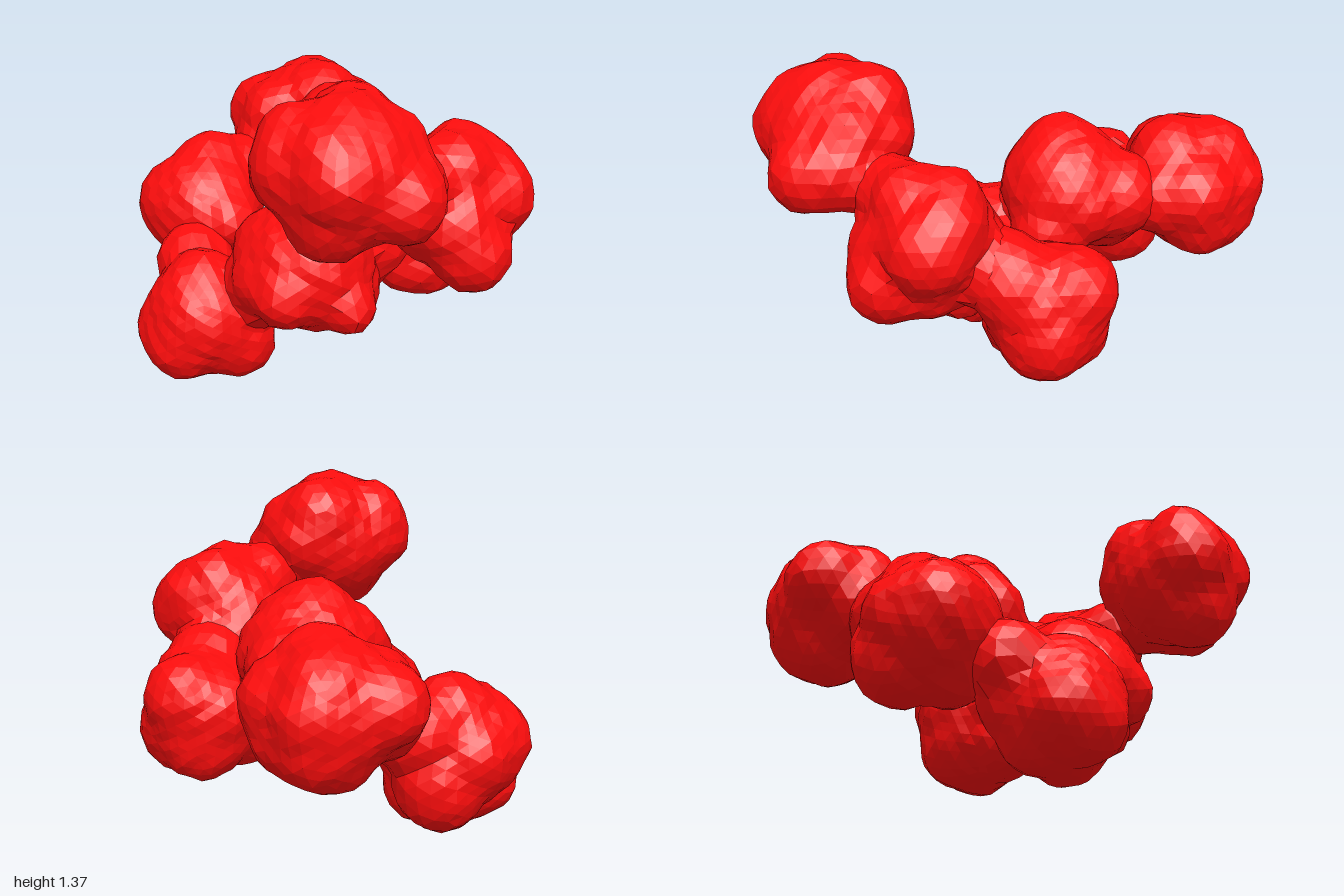
import * as THREE from 'three';

// Each lump: a core ball followed by the smaller lobes and necks swelling out of it, as [x, y, z, radius]
const lumps = {
  topFrontLump: [[0.05, 1.08, 0.69, 0.27], [-0.11, 1.1, 0.7, 0.18], [0.25, 1.02, 0.68, 0.16], [0.08, 1.2, 0.56, 0.165],
    [0.02, 1.1, 0.85, 0.15], [0.0, 0.94, 0.75, 0.17], [0.14, 1.1, 0.53, 0.15], [0.25, 1.0, 0.78, 0.155],
    [-0.12, 1.19, 0.68, 0.14], [0.06, 1.21, 0.7, 0.155], [0.27, 0.97, 0.56, 0.13], [0.0, 1.17, 0.8, 0.15],
    [0.2, 1.14, 0.63, 0.15]],
  rightFrontLump: [[0.45, 0.82, 0.33, 0.25], [0.61, 0.85, 0.34, 0.17], [0.5, 0.98, 0.27, 0.14], [0.53, 0.68, 0.49, 0.155],
    [0.36, 0.77, 0.2, 0.15], [0.33, 0.95, 0.47, 0.15], [0.46, 0.97, 0.4, 0.15], [0.5, 0.71, 0.12, 0.16],
    [0.5, 0.68, 0.35, 0.155], [0.46, 0.78, 0.49, 0.15], [0.58, 0.92, 0.28, 0.15]],
  rightBackLump: [[0.5, 0.55, -0.1, 0.24], [0.61, 0.48, -0.1, 0.15], [0.56, 0.65, -0.2, 0.16], [0.41, 0.43, 0.0, 0.14],
    [0.31, 0.58, -0.01, 0.15], [0.5, 0.7, 0.08, 0.17], [0.58, 0.45, -0.08, 0.16], [0.43, 0.6, -0.2, 0.14],
    [0.33, 0.44, 0.0, 0.14], [0.54, 0.65, 0.0, 0.17], [0.5, 0.45, -0.17, 0.16]],
  centreFrontLump: [[-0.07, 0.53, 0.23, 0.26], [-0.2, 0.56, 0.18, 0.17], [0.07, 0.41, 0.22, 0.14], [-0.16, 0.46, 0.39, 0.13],
    [-0.28, 0.38, 0.16, 0.16], [0.18, 0.56, 0.08, 0.16], [0.08, 0.4, 0.37, 0.11], [-0.02, 0.64, 0.05, 0.16],
    [-0.22, 0.48, 0.28, 0.15], [-0.03, 0.4, 0.25, 0.145]],
  centreBackLump: [[0.08, 0.85, -0.2, 0.25], [0.18, 0.83, -0.24, 0.17], [-0.06, 0.74, -0.12, 0.16], [0.05, 0.99, -0.18, 0.14],
    [0.13, 0.83, -0.4, 0.17], [0.21, 0.71, -0.13, 0.15], [-0.1, 0.81, -0.12, 0.15], [-0.02, 0.65, -0.02, 0.15],
    [0.05, 0.72, -0.36, 0.15], [-0.05, 0.82, -0.32, 0.14], [-0.08, 0.89, -0.16, 0.13]],
  leftFrontLump: [[-0.48, 0.26, 0.11, 0.24], [-0.61, 0.2, 0.11, 0.15], [-0.36, 0.155, 0.14, 0.155], [-0.5, 0.4, 0.12, 0.13],
    [-0.53, 0.4, -0.1, 0.16], [-0.32, 0.33, 0.12, 0.15], [-0.57, 0.16, 0.18, 0.15], [-0.45, 0.15, 0.02, 0.145],
    [-0.48, 0.26, -0.06, 0.14]],
  leftBackLump: [[-0.5, 0.54, -0.36, 0.25], [-0.62, 0.56, -0.36, 0.16], [-0.47, 0.69, -0.42, 0.15], [-0.44, 0.41, -0.48, 0.17],
    [-0.4, 0.53, -0.2, 0.13], [-0.36, 0.64, -0.5, 0.16], [-0.46, 0.39, -0.3, 0.15], [-0.3, 0.64, -0.53, 0.14],
    [-0.56, 0.55, -0.49, 0.14], [-0.42, 0.46, -0.5, 0.16]],
  backLump: [[-0.05, 0.8, -0.71, 0.26], [-0.24, 0.83, -0.76, 0.16], [0.12, 0.82, -0.7, 0.17], [0.01, 0.82, -0.86, 0.14],
    [-0.05, 0.66, -0.74, 0.17], [0.0, 0.92, -0.63, 0.165], [-0.22, 0.73, -0.62, 0.16], [0.1, 0.81, -0.57, 0.16],
    [0.1, 0.7, -0.73, 0.15], [-0.2, 0.86, -0.62, 0.14], [-0.03, 0.91, -0.8, 0.15], [0.0, 0.7, -0.8, 0.17],
    [-0.15, 0.69, -0.55, 0.15]],
};

// Distance to the softly blended balls of one lump
function distance(p, balls) {
  const k = 0.035;
  let d = Infinity;
  for (const [x, y, z, r] of balls) {
    const e = Math.hypot(p.x - x, p.y - y, p.z - z) - r;
    const h = Math.max(k - Math.abs(d - e), 0) / k;
    d = Math.min(d, e) - h * h * k / 4;
  }
  return d;
}

// Shrink-wrap a faceted ball onto the lump, then roughen it slightly
function lumpGeometry(balls) {
  const geometry = new THREE.IcosahedronGeometry(1, 6);
  const core = new THREE.Vector3(...balls[0]);
  const position = geometry.attributes.position;
  const dir = new THREE.Vector3(), p = new THREE.Vector3();
  for (let i = 0; i < position.count; i++) {
    dir.fromBufferAttribute(position, i).normalize();
    let t = 0.7;
    for (let step = 0; step < 40; step++) {
      p.copy(core).addScaledVector(dir, t);
      t -= distance(p, balls) * 0.9;
    }
    t += 0.006 * Math.sin(p.x * 47 + p.y * 23) * Math.sin(p.y * 41 + p.z * 37);
    p.copy(core).addScaledVector(dir, t);
    position.setXYZ(i, p.x, p.y, p.z);
  }
  geometry.computeVertexNormals();
  return geometry;
}

export function createModel() {
  const model = new THREE.Group();
  model.name = 'lumpyCluster';
  const material = new THREE.MeshStandardMaterial({ color: 0xff0d0d, flatShading: true });
  for (const [name, balls] of Object.entries(lumps)) {
    const mesh = new THREE.Mesh(lumpGeometry(balls), material);
    mesh.name = name;
    model.add(mesh);
  }
  return model;
}
